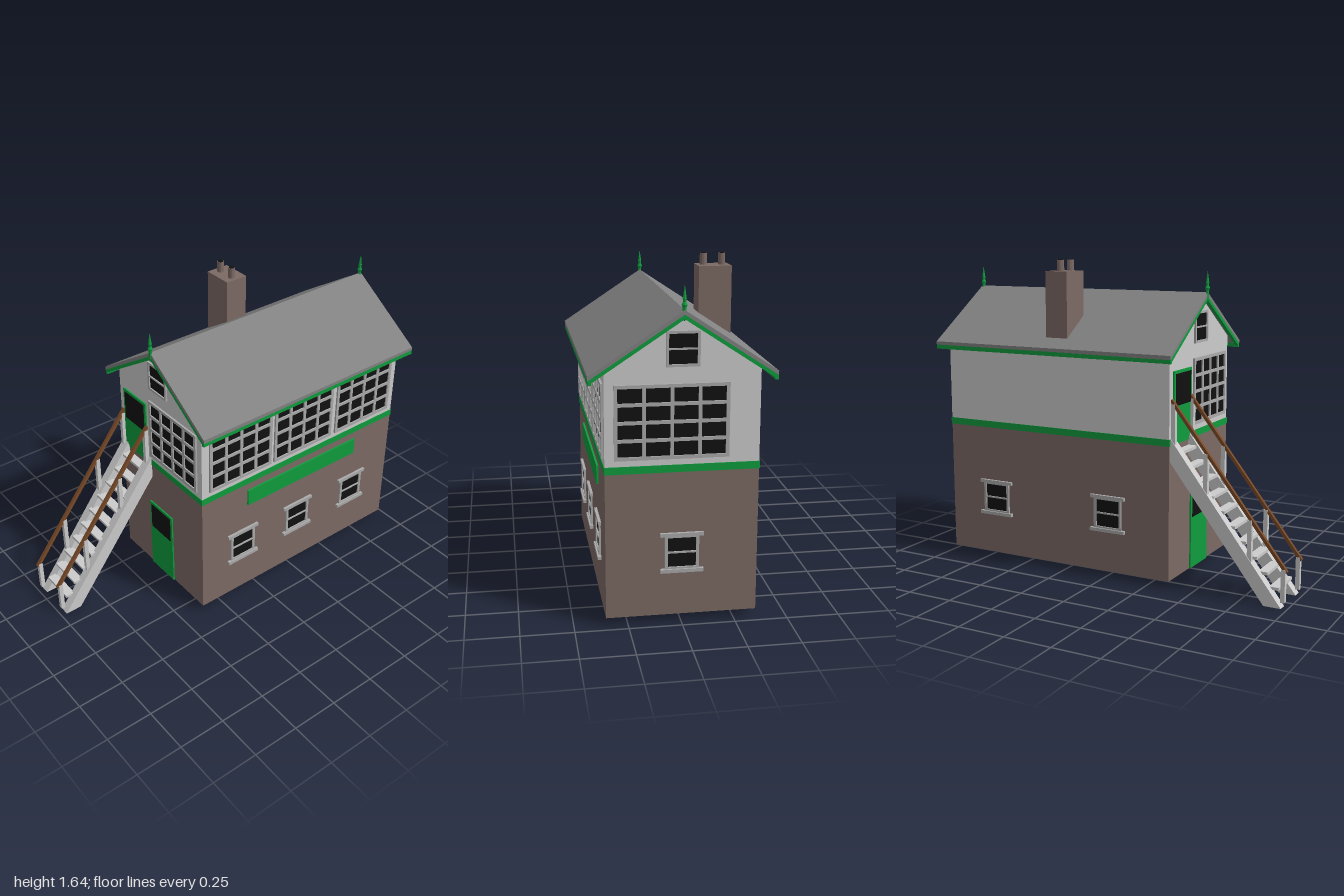
import * as THREE from 'three';

const mat = (color) => new THREE.MeshStandardMaterial({ color, flatShading: true });
const WALL = mat(0xcccccc), BRICK = mat(0x7c6a64), GREEN = mat(0x109c3e), ROOF = mat(0x828282);
const FRAME = mat(0xaaaaaa), GLASS = mat(0x111111), WOOD = mat(0x7a4a28);

// main walls
const X0 = -0.375, X1 = 0.96, Z0 = -0.355, Z1 = 0.352;
const RIDGE = 1.475, SLOPE = 0.66, EAVE = 0.425;

function add(parent, name, geometry, material, x = 0, y = 0, z = 0) {
  const m = new THREE.Mesh(geometry, material);
  m.name = name;
  m.position.set(x, y, z);
  parent.add(m);
  return m;
}

// box given by its limits
function box(parent, name, material, x0, x1, y0, y1, z0, z1) {
  return add(parent, name, new THREE.BoxGeometry(x1 - x0, y1 - y0, z1 - z0), material,
    (x0 + x1) / 2, (y0 + y1) / 2, (z0 + z1) / 2);
}

// outline of [z, y] points drawn out along x
function alongX(parent, name, material, points, x0, x1) {
  const shape = new THREE.Shape(points.map(([z, y]) => new THREE.Vector2(-z, y)));
  const g = new THREE.ExtrudeGeometry(shape, { depth: x1 - x0, bevelEnabled: false });
  g.rotateY(Math.PI / 2);
  return add(parent, name, g, material, x0);
}

// window facing +z: frame with a grid of openings over dark glass
function makeWindow(w, h, cols, rows, rim = 0.016, bar = 0.016) {
  const g = new THREE.Group();
  const shape = new THREE.Shape();
  shape.moveTo(-w / 2, -h / 2).lineTo(w / 2, -h / 2).lineTo(w / 2, h / 2).lineTo(-w / 2, h / 2);
  const pw = (w - 2 * rim - (cols - 1) * bar) / cols;
  const ph = (h - 2 * rim - (rows - 1) * bar) / rows;
  for (let c = 0; c < cols; c++) {
    for (let r = 0; r < rows; r++) {
      const x = -w / 2 + rim + c * (pw + bar), y = -h / 2 + rim + r * (ph + bar);
      const hole = new THREE.Path();
      hole.moveTo(x, y).lineTo(x, y + ph).lineTo(x + pw, y + ph).lineTo(x + pw, y);
      shape.holes.push(hole);
    }
  }
  add(g, 'windowFrame', new THREE.ExtrudeGeometry(shape, { depth: 0.01, bevelEnabled: false }), FRAME);
  box(g, 'windowGlass', GLASS, -w / 2 + 0.005, w / 2 - 0.005, -h / 2 + 0.005, h / 2 - 0.005, -0.004, 0.003);
  return g;
}

// small brick-storey window with lintel and sill
function makeLowWindow() {
  const g = makeWindow(0.16, 0.17, 1, 2, 0.014, 0.008);
  box(g, 'windowSill', FRAME, -0.1, 0.1, -0.097, -0.08, 0, 0.018);
  box(g, 'windowLintel', FRAME, -0.1, 0.1, 0.078, 0.095, 0, 0.014);
  return g;
}

// stand a part on one of the four walls; u is x or z along that wall
function place(parent, name, part, side, u, y) {
  part.name = name;
  const spots = {
    front: [u, Z1, 0], back: [u, Z0, Math.PI],
    left: [X1, u, Math.PI / 2], right: [X0, u, -Math.PI / 2],
  };
  const [x, z, turn] = spots[side];
  part.position.set(x, y, z);
  part.rotation.y = turn;
  parent.add(part);
}

function makeDoor(w, h, glassH) {
  const g = new THREE.Group();
  box(g, 'doorPanel', GREEN, -w / 2, w / 2, 0, h, -0.002, 0.008);
  box(g, 'doorGlass', GLASS, -w / 2 + 0.015, w / 2 - 0.015, h - glassH - 0.015, h - 0.015, 0, 0.011);
  return g;
}

function makeRoof() {
  const g = new THREE.Group();
  const at = (z, drop) => [z, RIDGE - drop - Math.abs(z) * SLOPE];
  // chevron between two depths below the roof line
  const chevron = (e, a, b) => [at(-e, a), at(0, a), at(e, a), at(e, b), at(0, b), at(-e, b)];
  alongX(g, 'roofSlab', ROOF, chevron(EAVE, 0, 0.02), -0.415, 0.995);
  for (const x of [-0.415, 0.977]) {
    alongX(g, 'bargeBoard', GREEN, chevron(EAVE, 0.02, 0.04), x, x + 0.018);
  }
  for (const s of [-1, 1]) {
    const z = s * (EAVE - 0.008);
    box(g, 'eaveBoard', GREEN, -0.415, 0.995, 1.155, 1.177, z - 0.008, z + 0.008);
  }
  // finials: spike with a collar and a short drop below the ridge
  const profile = [[0, -0.05], [0.009, -0.04], [0.009, 0.01], [0.013, 0.022], [0.007, 0.035],
    [0.009, 0.048], [0, 0.11]].map(([r, y]) => new THREE.Vector2(r, y));
  for (const x of [-0.412, 0.985]) {
    add(g, 'finial', new THREE.LatheGeometry(profile, 8), GREEN, x, RIDGE, 0);
  }
  return g;
}

function makeChimney() {
  const g = new THREE.Group();
  box(g, 'chimneyStack', BRICK, 0.208, 0.335, 1.2, 1.58, -0.355, -0.19);
  for (const z of [-0.225, -0.318]) {
    add(g, 'chimneyPot', new THREE.CylinderGeometry(0.018, 0.018, 0.07, 12), BRICK, 0.265, 1.602, z);
    add(g, 'potOpening', new THREE.CylinderGeometry(0.015, 0.015, 0.004, 12), GLASS, 0.265, 1.637, z);
  }
  return g;
}

function makeStairs() {
  const g = new THREE.Group();
  // stringers, handrails and posts on both sides
  const outline = [[-0.97, 0], [-0.88, 0], [X0, 0.655], [X0, 0.775]];
  const stringer = new THREE.Shape(outline.map(([x, y]) => new THREE.Vector2(x, y)));
  const railLength = Math.hypot(0.615, 0.785);
  const sides = [[-0.345, -0.33], [-0.135, -0.118]];
  for (const [z, railZ] of sides) {
    add(g, 'stringer', new THREE.ExtrudeGeometry(stringer, { depth: 0.048, bevelEnabled: false }), WALL, 0, 0, z);
    const rail = add(g, 'handrail', new THREE.BoxGeometry(railLength, 0.016, 0.018), WOOD, -0.6825, 0.5725, railZ);
    rail.rotation.z = Math.atan2(0.785, 0.615);
    for (const [x, y0, y1] of [[-0.975, 0.03, 0.195], [-0.8, 0.19, 0.415], [-0.565, 0.47, 0.715], [-0.388, 0.7, 0.945]]) {
      box(g, 'railPost', WALL, x - 0.011, x + 0.011, y0, y1, railZ - 0.011, railZ + 0.011);
    }
  }
  // treads
  for (let i = 0; i < 10; i++) {
    const x = -0.945 + i * 0.058, y = 0.075 + i * 0.0685;
    box(g, 'tread', WALL, x, x + 0.05, y, y + 0.015, -0.31, -0.12);
  }
  return g;
}

export function createModel() {
  const model = new THREE.Group();
  model.name = 'signalCabin';
  const part = (name, g) => { g.name = name; model.add(g); };

  // walls: brick storey, band, gabled upper storey
  box(model, 'brickStorey', BRICK, X0, X1, 0.04, 0.75, Z0, Z1);
  const top = (z) => RIDGE - 0.018 - Math.abs(z) * SLOPE;
  alongX(model, 'upperStorey', WALL,
    [[Z0, 0.75], [Z0, top(Z0)], [0, top(0)], [Z1, top(Z1)], [Z1, 0.75]], X0, X1);
  box(model, 'greenBand', GREEN, X0 - 0.003, X1 + 0.003, 0.735, 0.77, Z0 - 0.003, Z1 + 0.003);
  box(model, 'nameBoard', GREEN, -0.08, 0.68, 0.598, 0.692, Z1 - 0.002, Z1 + 0.01);

  // upper windows
  for (const x of [-0.13, 0.29, 0.72]) place(model, 'frontWindow', makeWindow(0.4, 0.345, 4, 4), 'front', x, 0.972);
  place(model, 'endWindow', makeWindow(0.522, 0.345, 4, 4), 'left', 0.048, 0.972);
  place(model, 'endWindow', makeWindow(0.4, 0.345, 4, 4), 'right', 0.115, 0.972);
  for (const side of ['left', 'right']) {
    place(model, 'gableWindow', makeWindow(0.152, 0.16, 1, 2, 0.012, 0.008), side, 0, 1.3);
  }

  // lower windows
  const low = [['front', -0.11], ['front', 0.275], ['front', 0.68], ['left', 0], ['back', 0.668], ['back', -0.027]];
  for (const [side, u] of low) place(model, 'lowWindow', makeLowWindow(), side, u, 0.35);

  // doors at the stair head and at ground level
  place(model, 'upperDoor', makeDoor(0.2, 0.35, 0.16), 'right', -0.215, 0.755);
  place(model, 'lowerDoor', makeDoor(0.2, 0.44, 0.15), 'right', -0.01, 0.04);

  part('roof', makeRoof());
  part('chimney', makeChimney());
  part('stairs', makeStairs());
  return model;
}
